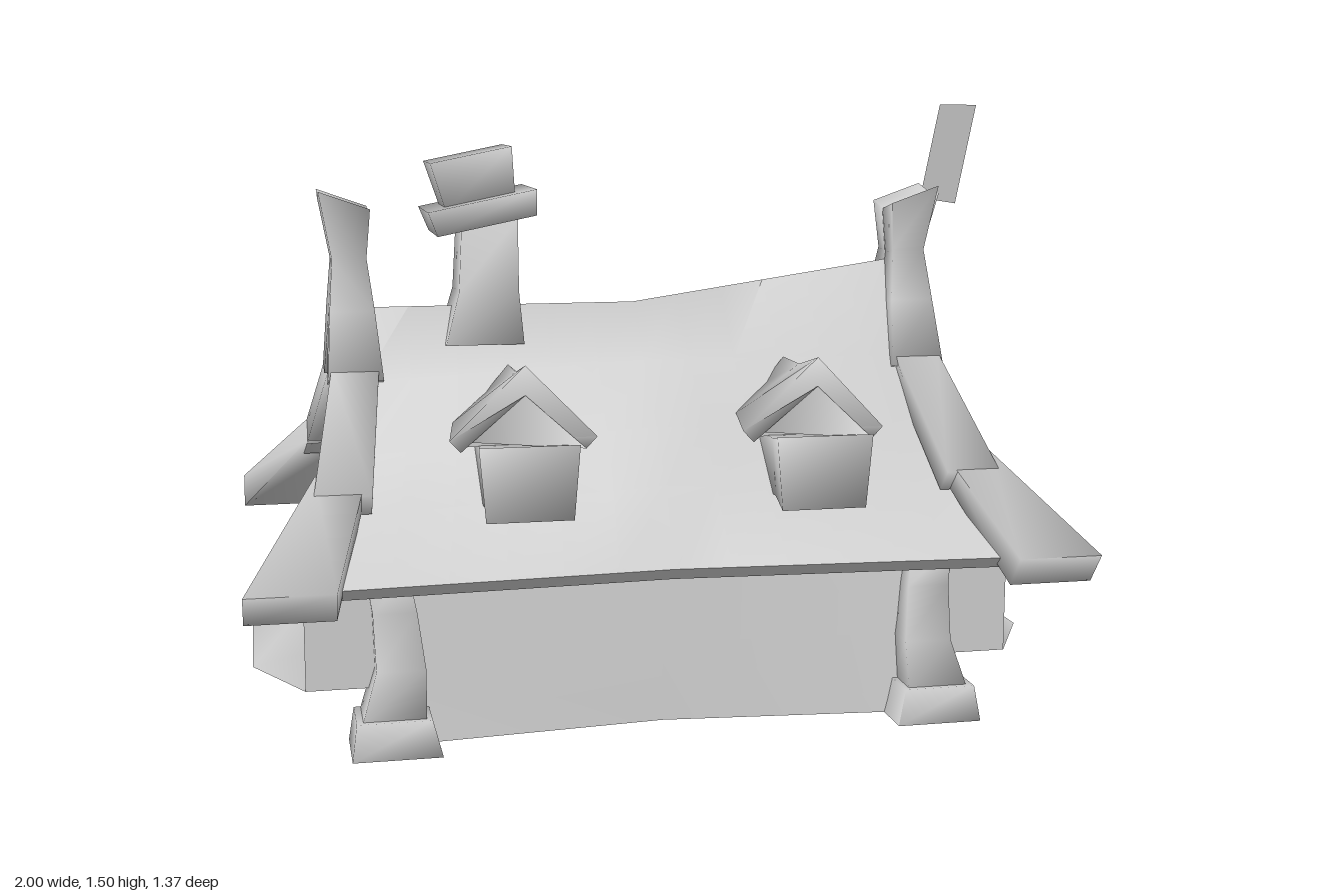
import * as THREE from 'three';
import { toCreasedNormals } from 'three/addons/utils/BufferGeometryUtils.js';

const stone = new THREE.MeshStandardMaterial({ color: 0xcccccc, side: THREE.DoubleSide });
stone.name = 'pale grey';

// Skin through rows of [x, y, z] points; closed rows form a capped solid
function loft(parent, name, rows, closed = false) {
  const n = rows[0].length, pos = rows.flat(2), idx = [];
  for (let r = 0; r < rows.length - 1; r++) {
    for (let i = 0; i < (closed ? n : n - 1); i++) {
      const a = r * n + i, b = r * n + (i + 1) % n;
      idx.push(a, b, a + n, b, b + n, a + n);
    }
  }
  if (closed) {
    const last = (rows.length - 1) * n;
    for (let i = 1; i < n - 1; i++) idx.push(0, i + 1, i, last, last + i, last + i + 1);
  }
  const g = new THREE.BufferGeometry();
  g.setAttribute('position', new THREE.Float32BufferAttribute(pos, 3));
  g.setIndex(idx);
  const mesh = new THREE.Mesh(toCreasedNormals(g, 1.8), stone);
  mesh.name = name;
  parent.add(mesh);
}

// Horizontal rectangle ring, used for stacked blocks and posts
const ring = (x, y, z, hx, hz) =>
  [[x - hx, y, z - hz], [x + hx, y, z - hz], [x + hx, y, z + hz], [x - hx, y, z + hz]];

// Gable beam: stations [x0, x1, y, z, halfThickness, tilt] running down the slope
function beam(parent, name, stations, sx, sz) {
  const a = stations[0], b = stations[stations.length - 1];
  const len = Math.hypot(b[2] - a[2], b[3] - a[3]);
  const ny = (b[3] - a[3]) / len, nz = -(b[2] - a[2]) / len;
  loft(parent, name, stations.map(([x0, x1, y, z, t, tilt = 0]) =>
    [[x0, 1, -tilt], [x1, 1, tilt], [x1, -1, tilt], [x0, -1, -tilt]].map(([x, s, dy]) =>
      [x * sx, y + dy + s * t * ny, (z + s * t * nz) * sz])), true);
}

function addRoof(house) {
  // [z, y] from ridge to eave, at the middle and at the ends
  const middle = [[0, 1], [0.15, 0.87], [0.3, 0.725], [0.41, 0.6], [0.515, 0.42]];
  const ends = [[0, 1], [0.13, 0.83], [0.26, 0.67], [0.39, 0.55], [0.6, 0.43]];
  const endX = [0.69, 0.7, 0.73, 0.76, 0.81];
  const outer = [];
  for (let s = -6; s <= 6; s++) {
    const u = s / 6, k = Math.abs(u), half = [];
    middle.forEach(([z, y], i) => {
      const lift = u > 0 ? [0.1, 0.03, 0, 0, 0][i] * u : 0;
      half.push([endX[i] * u, y + (ends[i][1] - y) * k + lift, z + (ends[i][0] - z) * k]);
    });
    const back = half.slice(1).reverse().map(([x, y, z]) => [x, y, -z]);
    outer.push([...back, ...half]);
  }
  const inner = outer.map((r) => r.map(([x, y, z]) => [x, y - 0.03, z * 0.95]));
  loft(house, 'roof', outer);
  loft(house, 'roofUnderside', inner);
  for (const i of [0, 12]) loft(house, 'roofEndEdge', [outer[i], inner[i]]);
  for (const i of [0, 8]) loft(house, 'roofEave', [outer, inner].map((side) => side.map((r) => r[i])));
}

function addWalls(house) {
  for (const s of [1, -1]) {
    const column = (x, low, high) =>
      [[x, 0.005, low * s], [x, 0.2, (low * 0.6 + high * 0.4) * s], [x, 0.52, high * s]];
    loft(house, s > 0 ? 'frontWall' : 'backWall',
      [column(-0.67, 0.44, 0.37), column(0, 0.38, 0.36), column(0.67, 0.44, 0.37)]);
    // Gable wall follows the roof slope
    loft(house, 'gableWall', [[0.005, 0.44], [0.3, 0.39], [0.55, 0.34], [0.65, 0.25], [0.8, 0.125], [0.97, 0.003]]
      .map(([y, z]) => [[0.67 * s, y, -z], [0.67 * s, y, z]]));
  }
}

function addGableEnd(house, sx) {
  for (const sz of [1, -1]) {
    beam(house, 'gablePost', [[0.67, 0.795, 1.262, 0.037, 0.04, 0.022], [0.68, 0.765, 1.12, 0.027, 0.03],
      [0.665, 0.775, 0.99, 0.053, 0.05], [0.65, 0.785, 0.83, 0.133, 0.036]], sx, sz);
    beam(house, 'upperRafter', [[0.66, 0.775, 0.85, 0.125, 0.03], [0.7, 0.835, 0.585, 0.42, 0.036]], sx, sz);
    beam(house, 'lowerRafter', [[0.71, 0.83, 0.625, 0.37, 0.032], [0.795, 1, 0.408, 0.655, 0.048]], sx, sz);
    // Corner post on a splayed foot
    const x = sx, z = sz;
    loft(house, 'cornerFoot', [ring(0.66 * x, 0.005, 0.455 * z, 0.105, 0.085),
      ring(0.665 * x, 0.09, 0.455 * z, 0.088, 0.068)], true);
    loft(house, 'cornerPost', [ring(0.665 * x, 0.08, 0.45 * z, 0.075, 0.06),
      ring(0.645 * x, 0.2, 0.435 * z, 0.058, 0.05), ring(0.655 * x, 0.33, 0.405 * z, 0.052, 0.045),
      ring(0.67 * x, 0.42, 0.385 * z, 0.05, 0.045)], true);
  }
}

function addBay(house, sx) {
  const zs = [0.43, 0.21, -0.25, -0.4];
  const row = (y, end, mid) => zs.map((z, i) => [(i % 3 ? mid : end) * sx, y, z]);
  const wall = (y) => zs.map((z) => [0.66 * sx, y, z]);
  loft(house, 'bayFront', [row(0.385, 0.865, 0.82), row(0.27, 0.865, 0.805),
    row(0.18, 0.865, 0.84), row(0.148, 0.865, 0.985)]);
  loft(house, 'bayTop', [wall(0.385), row(0.385, 0.865, 0.82)]);
  for (const z of [0.43, -0.4]) {
    loft(house, 'baySide', [0.385, 0.148].map((y) => [[0.62 * sx, y, z], [0.865 * sx, y, z]]));
  }
  const under = (x, y) => [0.27, 0.2, -0.2, -0.25].map((z) => [x * sx, y, z]);
  loft(house, 'bayUnderside', [row(0.148, 0.865, 0.985), under(0.84, 0.138), under(0.7, 0.1), under(0.64, 0.1)]);
  loft(house, 'bayHood', [
    [[0.66, 0.385, 0.28], [0.85, 0.385, 0.27], [0.85, 0.385, -0.27], [0.66, 0.385, -0.28]],
    [[0.66, 0.45, 0.22], [0.78, 0.45, 0.2], [0.78, 0.45, -0.2], [0.66, 0.45, -0.22]],
  ].map((r) => r.map(([x, y, z]) => [x * sx, y, z])), true);
}

function addDormer(house, cx, s) {
  const d = new THREE.Group();
  d.name = 'dormer';
  const chevron = (h, eave, ridge, zEave, zRidge, t) => [[-h, eave, zEave], [0, ridge, zRidge], [h, eave, zEave],
    [h * 0.85, eave - t * 0.4, zEave], [0, ridge - t, zRidge], [-h * 0.85, eave - t * 0.4, zEave]]
    .map(([x, y, z]) => [x, y, z * s]);
  loft(d, 'dormerRoof', [chevron(0.175, 0.73, 0.908, 0.43, 0.46, 0.07),
    chevron(0.15, 0.745, 0.87, 0.26, 0.3, 0.07), chevron(0.06, 0.8, 0.868, 0.17, 0.155, 0.05)], true);
  const frame = (top, low, y0, y1, z) =>
    [[-low, y0, z * s], [low, y0, z * s], [top, y1, z * s], [-top, y1, z * s]];
  loft(d, 'dormerBox', [frame(0.118, 0.103, 0.553, 0.73, 0.53), frame(0.105, 0.095, 0.57, 0.712, 0.44),
    frame(0.1, 0.095, 0.57, 0.712, 0.28)], true);
  loft(d, 'dormerGable', [[[-0.13, 0.71, 0.4 * s], [0.13, 0.71, 0.4 * s]],
    [[-0.003, 0.85, 0.4 * s], [0.003, 0.85, 0.4 * s]]]);
  d.position.x = cx;
  house.add(d);
}

function addChimney(house) {
  loft(house, 'chimneyStack', [ring(-0.393, 0.91, 0, 0.098, 0.1), ring(-0.38, 1.04, 0, 0.075, 0.08),
    ring(-0.375, 1.22, 0, 0.07, 0.07)], true);
  // Leaning cap and flared pot
  const cap = new THREE.Group();
  cap.name = 'chimneyCap';
  loft(cap, 'capSlab', [ring(0, -0.032, 0, 0.125, 0.125), ring(0, 0.032, 0, 0.137, 0.138)], true);
  loft(cap, 'capPot', [ring(0, 0.02, 0, 0.088, 0.075), ring(0, 0.145, 0, 0.103, 0.095)], true);
  cap.position.set(-0.393, 1.238, -0.007);
  cap.rotation.z = 0.2;
  house.add(cap);
}

function addDoor(house) {
  for (const s of [1, -1]) {
    loft(house, 'doorPost', [ring(0.15 * s, 0, -0.41, 0.035, 0.045), ring(0.135 * s, 0.06, -0.41, 0.025, 0.035),
      ring(0.15 * s, 0.17, -0.41, 0.025, 0.035), ring(0.135 * s, 0.3, -0.43, 0.03, 0.05)], true);
  }
  // Arched hood over the back door
  const hood = [[-0.18, 0.28], [-0.11, 0.335], [0, 0.355], [0.11, 0.335], [0.18, 0.28]];
  loft(house, 'doorHood', hood.map(([x, y]) => [[x, y - 0.025, -0.36], [x, y + 0.025, -0.36],
    [x, y + 0.025, -0.53], [x, y - 0.025, -0.53]]), true);
}

function addLantern(house) {
  const x = -0.67;
  loft(house, 'lanternArm', [[0.23, -0.44], [0.25, -0.5], [0.31, -0.54], [0.39, -0.56], [0.4, -0.6]]
    .map(([y, z]) => [[x - 0.015, y, z], [x, y + 0.025, z], [x + 0.015, y, z]]), true);
  const lamp = new THREE.Mesh(new THREE.LatheGeometry([[0, 0.28], [0.03, 0.3], [0.06, 0.365], [0.025, 0.39], [0, 0.415]]
    .map(([r, y]) => new THREE.Vector2(r, y)), 4), stone);
  lamp.name = 'lantern';
  lamp.position.set(x, 0, -0.6);
  house.add(lamp);
}

export function createModel() {
  const house = new THREE.Group();
  house.name = 'cottage';
  addRoof(house);
  addWalls(house);
  for (const s of [1, -1]) {
    addGableEnd(house, s);
    addBay(house, s);
    for (const x of [-0.345, 0.36]) addDormer(house, x, s);
  }
  addChimney(house);
  addDoor(house);
  addLantern(house);
  // Thin sign board and its bracket on one gable post
  loft(house, 'signBoard', [[[0.82, 1.25, -0.13], [0.82, 1.25, 0.13]], [[0.87, 1.5, -0.13], [0.87, 1.5, 0.13]]]);
  loft(house, 'signBracket', [ring(0.77, 1.14, 0, 0.012, 0.012), ring(0.795, 1.27, 0, 0.022, 0.02)], true);
  return house;
}
